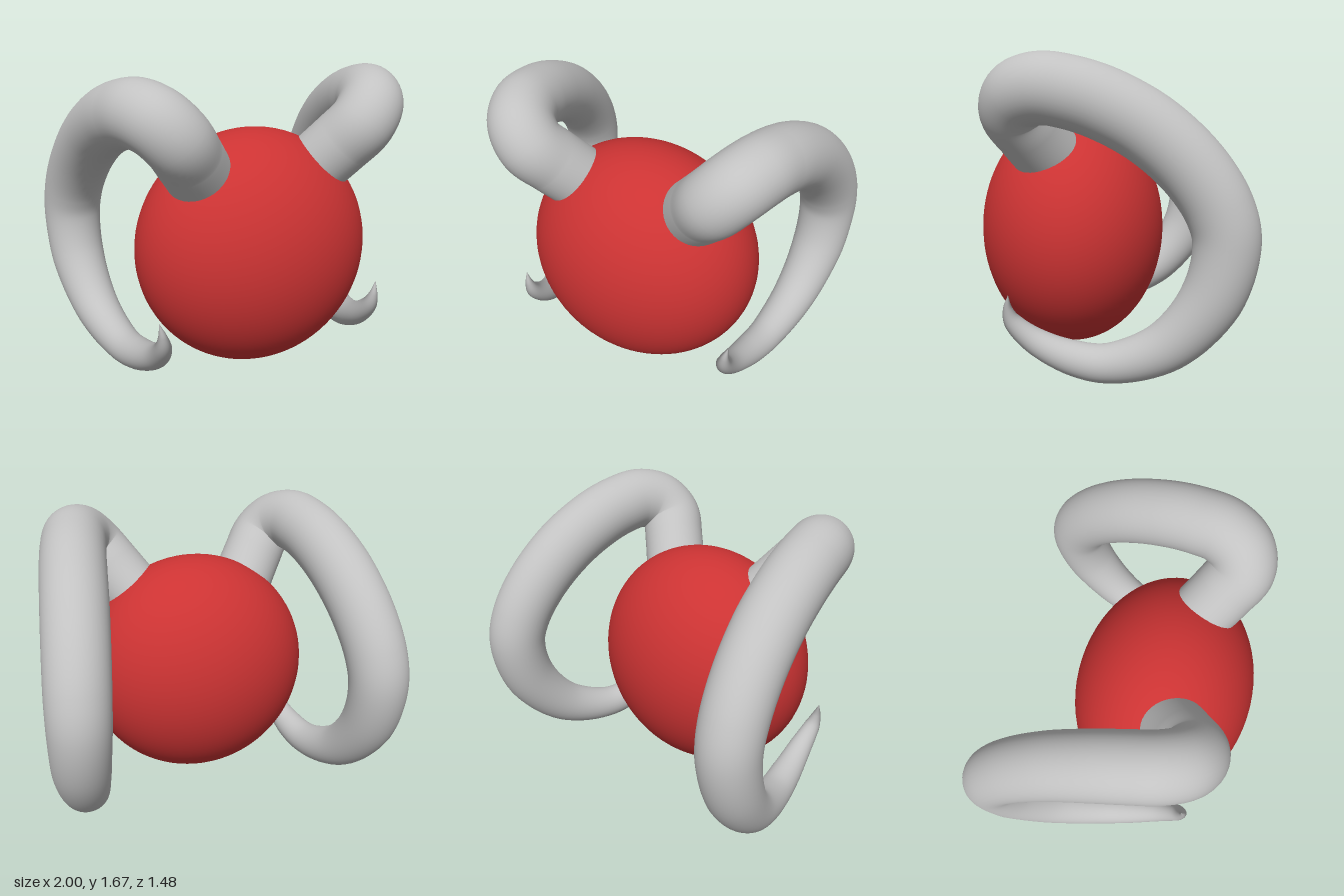
import * as THREE from 'three';

const red = new THREE.MeshStandardMaterial({ color: 0xcc3333 });
red.name = 'red body';
const grey = new THREE.MeshStandardMaterial({ color: 0xc2c2c2 });
grey.name = 'grey horn';

// Horn centre line from root to tip: x, y, z, radius
const HORN = [
  [0.28, 1.05, 0.26, 0.18],
  [0.36, 1.155, 0.335, 0.18],
  [0.45, 1.275, 0.415, 0.18],
  [0.53, 1.38, 0.475, 0.18],
  [0.605, 1.46, 0.44, 0.18],
  [0.665, 1.495, 0.33, 0.18],
  [0.70, 1.475, 0.18, 0.18],
  [0.73, 1.42, 0.01, 0.18],
  [0.765, 1.30, -0.21, 0.178],
  [0.80, 1.12, -0.41, 0.174],
  [0.825, 0.93, -0.535, 0.17],
  [0.835, 0.76, -0.575, 0.165],
  [0.83, 0.49, -0.51, 0.155],
  [0.785, 0.23, -0.30, 0.13],
  [0.717, 0.107, -0.01, 0.102],
  [0.672, 0.12, 0.19, 0.09],
  [0.64, 0.2, 0.385, 0.068],
  [0.642, 0.3, 0.492, 0.047],
  [0.65, 0.37, 0.515, 0.025],
  [0.664, 0.445, 0.51, 0.001],
];

// Tapered tube: a unit tube whose rings are drawn in to the local radius
function taperedHorn(side) {
  const curve = new THREE.CatmullRomCurve3(HORN.map(([x, y, z]) => new THREE.Vector3(x * side, y, z)));
  // Sample by control point, so that radii line up with the points
  curve.getPointAt = (t, target) => curve.getPoint(t, target);
  curve.getTangentAt = (t, target) => curve.getTangent(t, target);
  const rings = 152, sides = 40;
  const geometry = new THREE.TubeGeometry(curve, rings, 1, sides, false);
  const pos = geometry.attributes.position;
  const p = new THREE.Vector3();
  for (let i = 0; i <= rings; i++) {
    const t = i / rings;
    const centre = curve.getPoint(t);
    const k = Math.min(Math.floor(t * (HORN.length - 1)), HORN.length - 2);
    const r = THREE.MathUtils.lerp(HORN[k][3], HORN[k + 1][3], t * (HORN.length - 1) - k);
    for (let j = 0; j <= sides; j++) {
      const n = i * (sides + 1) + j;
      p.fromBufferAttribute(pos, n).sub(centre).multiplyScalar(r).add(centre);
      pos.setXYZ(n, p.x, p.y, p.z);
    }
  }
  return geometry;
}

export function createModel() {
  const model = new THREE.Group();

  // Flattened ball
  const body = new THREE.Mesh(new THREE.SphereGeometry(1, 64, 48), red);
  body.name = 'body';
  body.scale.set(0.673, 0.672, 0.525);
  body.position.set(0, 0.68, 0.213);
  model.add(body);

  // Pair of curling horns
  for (const [name, side] of [['leftHorn', 1], ['rightHorn', -1]]) {
    const horn = new THREE.Mesh(taperedHorn(side), grey);
    horn.name = name;
    model.add(horn);
  }
  return model;
}
